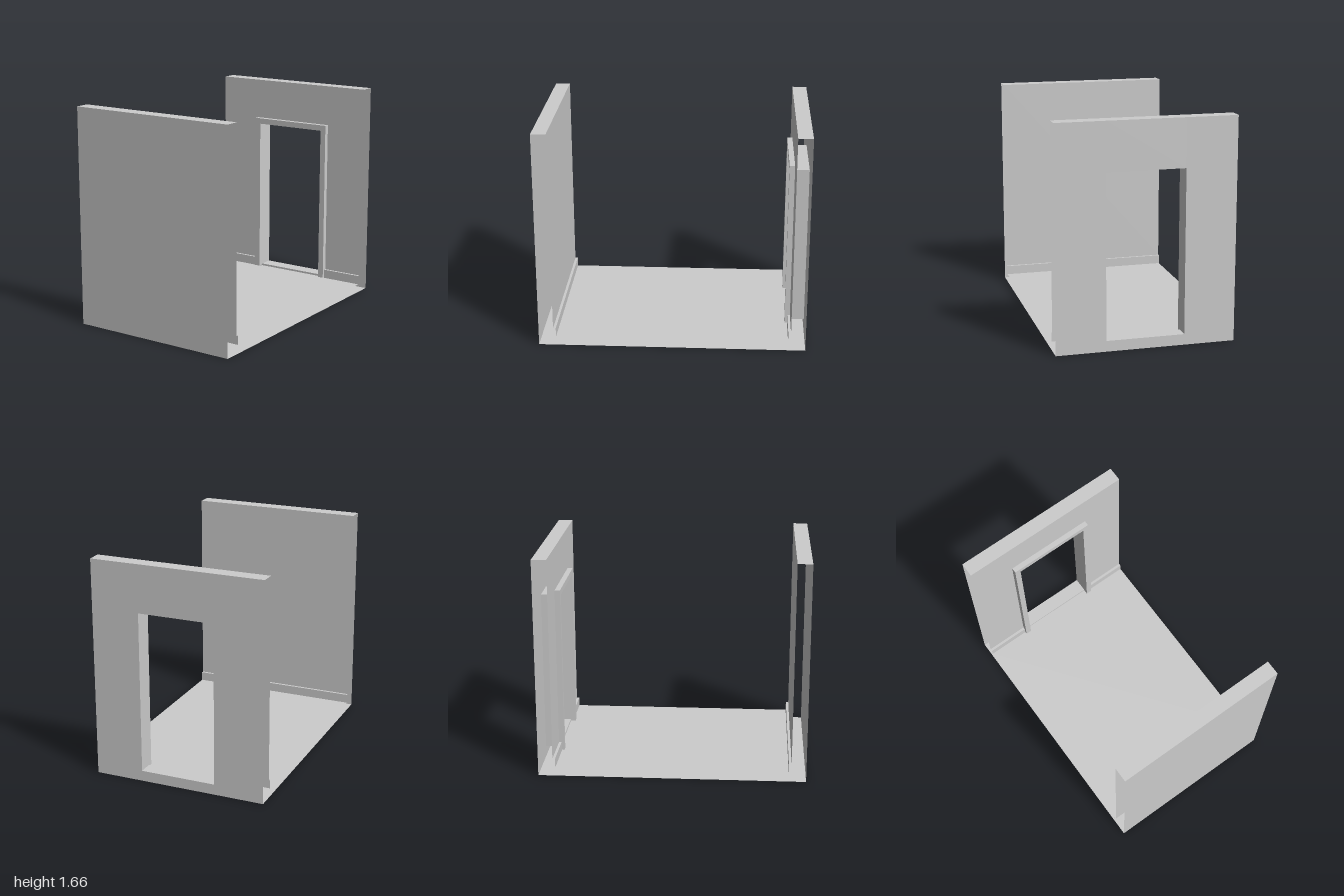
import * as THREE from 'three';

const material = new THREE.MeshStandardMaterial({ color: 0xcccccc, side: THREE.DoubleSide, flatShading: true });

const HALF = 0.663, HEIGHT = 1.66;          // corridor half width and wall height
const WALL = 0.89, SKIRT = 0.87;            // inner wall and skirting planes
const FLOOR = 0.065, SKIRT_TOP = 0.135;
const DOOR = { x0: -0.285, x1: 0.295, y0: 0.08, y1: 1.3 };

// Sweeps a [z, y] profile along x, leaving both ends open
function sweep(profile, x0, x1) {
  const positions = [];
  for (let i = 0; i < profile.length - 1; i++) {
    const [za, ya] = profile[i], [zb, yb] = profile[i + 1];
    positions.push(x0, ya, za, x0, yb, zb, x1, yb, zb);
    positions.push(x0, ya, za, x1, yb, zb, x1, ya, za);
  }
  const geometry = new THREE.BufferGeometry();
  geometry.setAttribute('position', new THREE.Float32BufferAttribute(positions, 3));
  geometry.computeVertexNormals();
  return geometry;
}

export function createModel() {
  const model = new THREE.Group();
  model.name = 'corridorSection';
  const add = (name, geometry) => {
    const mesh = new THREE.Mesh(geometry, material);
    mesh.name = name;
    model.add(mesh);
    return mesh;
  };

  // Hollow wall with skirting, from outer foot to the floor at its inner side
  const wall = [[-1, 0], [-1, HEIGHT], [-WALL, HEIGHT], [-WALL, SKIRT_TOP], [-SKIRT, SKIRT_TOP], [-SKIRT, FLOOR]];
  const frontWall = wall.map(([z, y]) => [-z, y]).reverse();

  add('frontWall', sweep(frontWall, -HALF, HALF));
  add('floor', sweep([[-SKIRT, FLOOR], [SKIRT, FLOOR]], -HALF, HALF));
  add('underside', sweep([[1, 0], [-1, 0]], -HALF, HALF));

  // Back wall, split around the doorway
  add('backWallRight', sweep(wall, -HALF, DOOR.x0));
  add('backWallLeft', sweep(wall, DOOR.x1, HALF));
  add('lintel', sweep([[-1, DOOR.y1], [-1, HEIGHT], [-WALL, HEIGHT], [-WALL, DOOR.y1], [-1, DOOR.y1]], DOOR.x0, DOOR.x1));
  add('threshold', sweep([[-1, 0], [-1, DOOR.y0], [-WALL, DOOR.y0], [-WALL, FLOOR], [-SKIRT, FLOOR]], DOOR.x0, DOOR.x1));

  // Door jambs, facing into the opening
  for (const [name, x, turn] of [['rightJamb', DOOR.x0, 1], ['leftJamb', DOOR.x1, -1]]) {
    const jamb = add(name, new THREE.PlaneGeometry(1 - WALL, DOOR.y1 - DOOR.y0));
    jamb.rotation.y = turn * Math.PI / 2;
    jamb.position.set(x, (DOOR.y0 + DOOR.y1) / 2, -(1 + WALL) / 2);
  }

  // Raised frame around the inner side of the doorway
  const rim = 0.045, foot = 0.07;
  const outline = [
    [DOOR.x0 - rim, foot], [DOOR.x0, foot], [DOOR.x0, DOOR.y1], [DOOR.x1, DOOR.y1],
    [DOOR.x1, foot], [DOOR.x1 + rim, foot], [DOOR.x1 + rim, DOOR.y1 + rim], [DOOR.x0 - rim, DOOR.y1 + rim],
  ];
  const shape = new THREE.Shape(outline.map(([x, y]) => new THREE.Vector2(x, y)));
  const frame = add('doorFrame', new THREE.ExtrudeGeometry(shape, { depth: 0.04, bevelEnabled: false }));
  frame.position.z = -WALL;

  return model;
}
